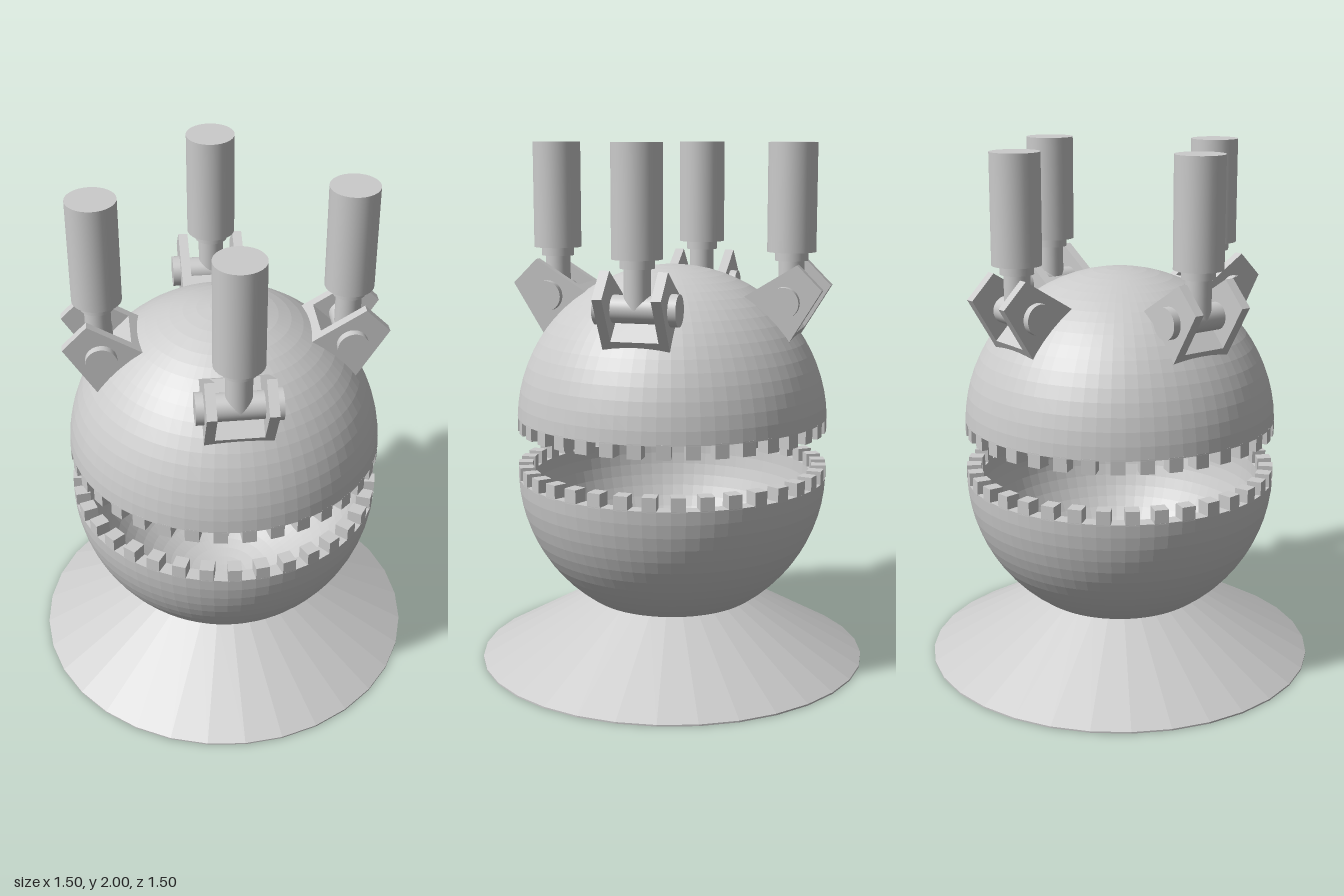
import * as THREE from 'three';

const smooth = new THREE.MeshStandardMaterial({ color: 0xcccccc });
const flat = new THREE.MeshStandardMaterial({ color: 0xcccccc, flatShading: true });

function add(parent, name, geometry, material, x = 0, y = 0, z = 0) {
  const mesh = new THREE.Mesh(geometry, material);
  mesh.name = name;
  mesh.position.set(x, y, z);
  parent.add(mesh);
  return mesh;
}

// Hollow half sphere, open at the top, with a ring of square teeth on its rim
function createJaw(name) {
  const R = 0.597, wall = 0.055, rim = -0.02, steps = 18, teeth = 36;
  const jaw = new THREE.Group();
  jaw.name = name;

  const profile = [];
  const arc = (r, from, to) => {
    for (let i = 0; i <= steps; i++) {
      const a = from + (to - from) * i / steps;
      profile.push(new THREE.Vector2(Math.max(0, r * Math.cos(a)), r * Math.sin(a)));
    }
  };
  const inner = R - wall;
  arc(R, -Math.PI / 2, Math.asin(rim / R));
  arc(inner, Math.asin(rim / inner), -Math.PI / 2);
  add(jaw, name + 'Shell', new THREE.LatheGeometry(profile, 72), flat);

  const toothGeometry = new THREE.BoxGeometry(0.052, 0.055, wall);
  for (let i = 0; i < teeth; i++) {
    const a = (i + 0.25) / teeth * Math.PI * 2;
    const r = R - 0.001 - wall / 2;
    const tooth = add(jaw, name + 'Tooth', toothGeometry, flat, r * Math.sin(a), 0.0025, r * Math.cos(a));
    tooth.rotation.y = a;
  }
  return jaw;
}

// Tapered slab: the lower part of the bracket outline, extruded across the bracket
function taperedSlab(height, width) {
  const bottom = 0.125, top = bottom - 0.06 * height / 0.25;
  const shape = new THREE.Shape([
    new THREE.Vector2(-bottom, 0), new THREE.Vector2(bottom, 0),
    new THREE.Vector2(top, height), new THREE.Vector2(-top, height),
  ]);
  const geometry = new THREE.ExtrudeGeometry(shape, { depth: width, bevelEnabled: false });
  return geometry.translate(0, 0, -width / 2).rotateY(-Math.PI / 2);
}

// Clevis bracket tilted along the dome, with a pin and an upright piston; outward is +z
function createLeg() {
  const leg = new THREE.Group();
  leg.name = 'pistonMount';

  const bracket = new THREE.Group();
  bracket.name = 'bracket';
  bracket.position.set(0, 1.338, 0.373);
  bracket.rotation.x = Math.PI / 4;
  leg.add(bracket);
  add(bracket, 'bracketPlate', taperedSlab(0.07, 0.2), flat);
  for (const side of [-1, 1]) {
    add(bracket, 'bracketLug', taperedSlab(0.25, 0.036), flat, side * 0.106);
    const head = add(bracket, 'pinHead', new THREE.CylinderGeometry(0.058, 0.058, 0.03, 32), smooth, side * 0.138, 0.12);
    head.rotation.z = Math.PI / 2;
  }
  const pin = add(bracket, 'pin', new THREE.CylinderGeometry(0.05, 0.05, 0.2, 32), smooth, 0, 0.12);
  pin.rotation.z = Math.PI / 2;

  const r = 0.46;
  add(leg, 'pistonRod', new THREE.CylinderGeometry(0.048, 0.048, 0.18, 32), smooth, 0, 1.51, r);
  add(leg, 'rodCollar', new THREE.CylinderGeometry(0.062, 0.062, 0.035, 32), smooth, 0, 1.585, r);
  add(leg, 'pistonCylinder', new THREE.CylinderGeometry(0.091, 0.091, 0.4, 32), smooth, 0, 1.8, r);
  return leg;
}

export function createModel() {
  const model = new THREE.Group();
  model.name = 'toothedGripper';

  // Flared base
  const base = [[0, 0], [0.75, 0], [0.75, 0.006], [0.312, 0.252]].map(([x, y]) => new THREE.Vector2(x, y));
  const baseMaterial = flat.clone();
  baseMaterial.side = THREE.DoubleSide;
  add(model, 'base', new THREE.LatheGeometry(base, 32), baseMaterial);

  // Two facing jaws
  const lower = createJaw('lowerJaw');
  lower.position.y = 0.75;
  const upper = createJaw('upperJaw');
  upper.position.y = 0.945;
  upper.rotation.x = Math.PI;
  model.add(lower, upper);

  // Four pistons on the diagonals
  for (let i = 0; i < 4; i++) {
    const leg = createLeg();
    leg.rotation.y = Math.PI / 4 + i * Math.PI / 2;
    model.add(leg);
  }
  return model;
}
